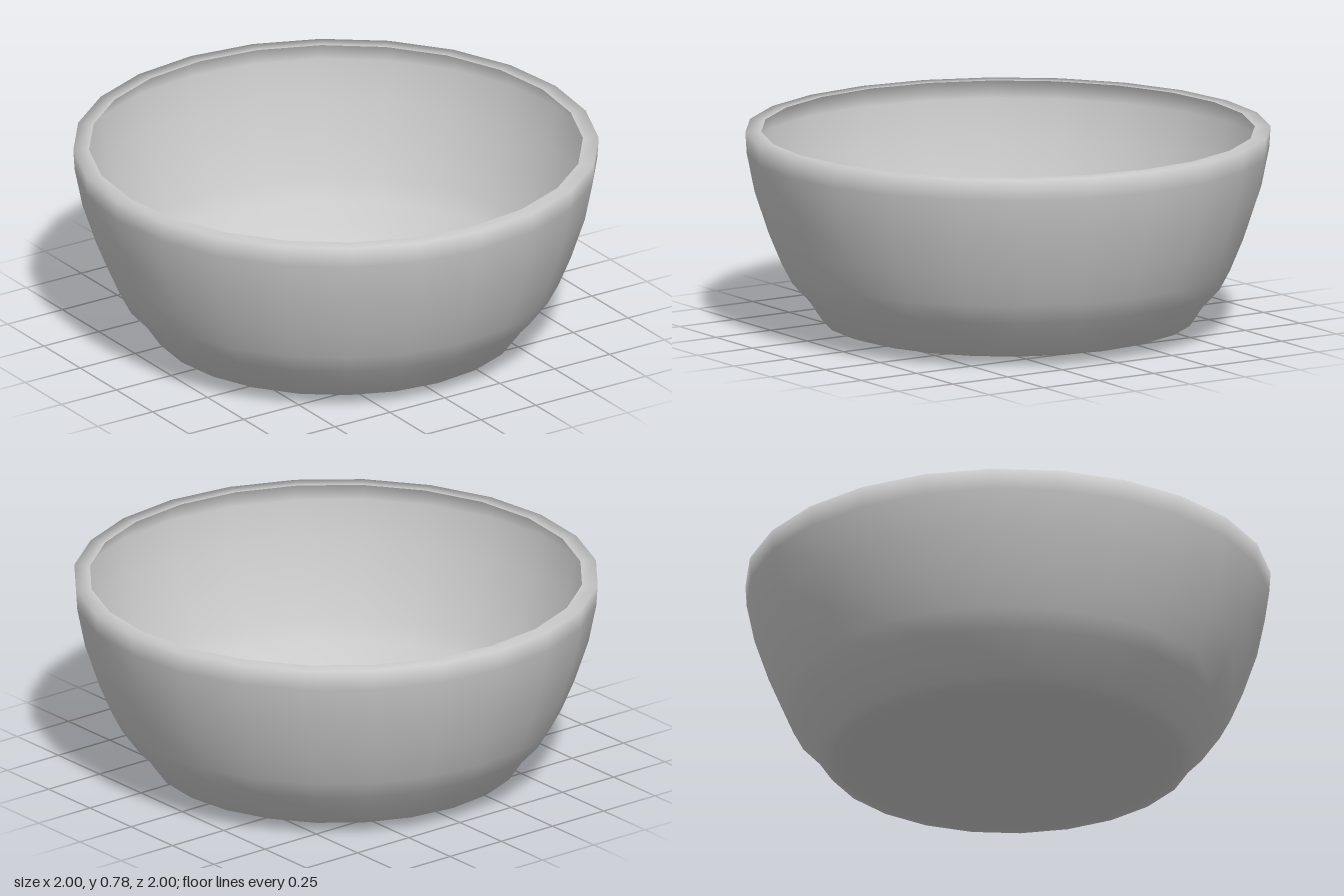
import * as THREE from 'three';

export function createModel() {
  const group = new THREE.Group();
  group.name = 'bowl';

  // Thin shell profile [radius, height]: sagging base, flared foot, wall, flat rim turned inward
  const profile = [
    [0, 0], [0.3, 0.008], [0.6, 0.02], [0.66, 0.03], [0.705, 0.045],
    [0.755, 0.12], [0.82, 0.19], [0.86, 0.265], [0.91, 0.385], [0.965, 0.55], [0.995, 0.7], [1, 0.78],
    [0.94, 0.78],
  ].map(([r, y]) => new THREE.Vector2(r, y));

  const bowl = new THREE.Mesh(
    new THREE.LatheGeometry(profile, 24),
    new THREE.MeshStandardMaterial({ color: 0xcccccc, side: THREE.DoubleSide })
  );
  bowl.name = 'bowlShell';
  group.add(bowl);
  return group;
}
